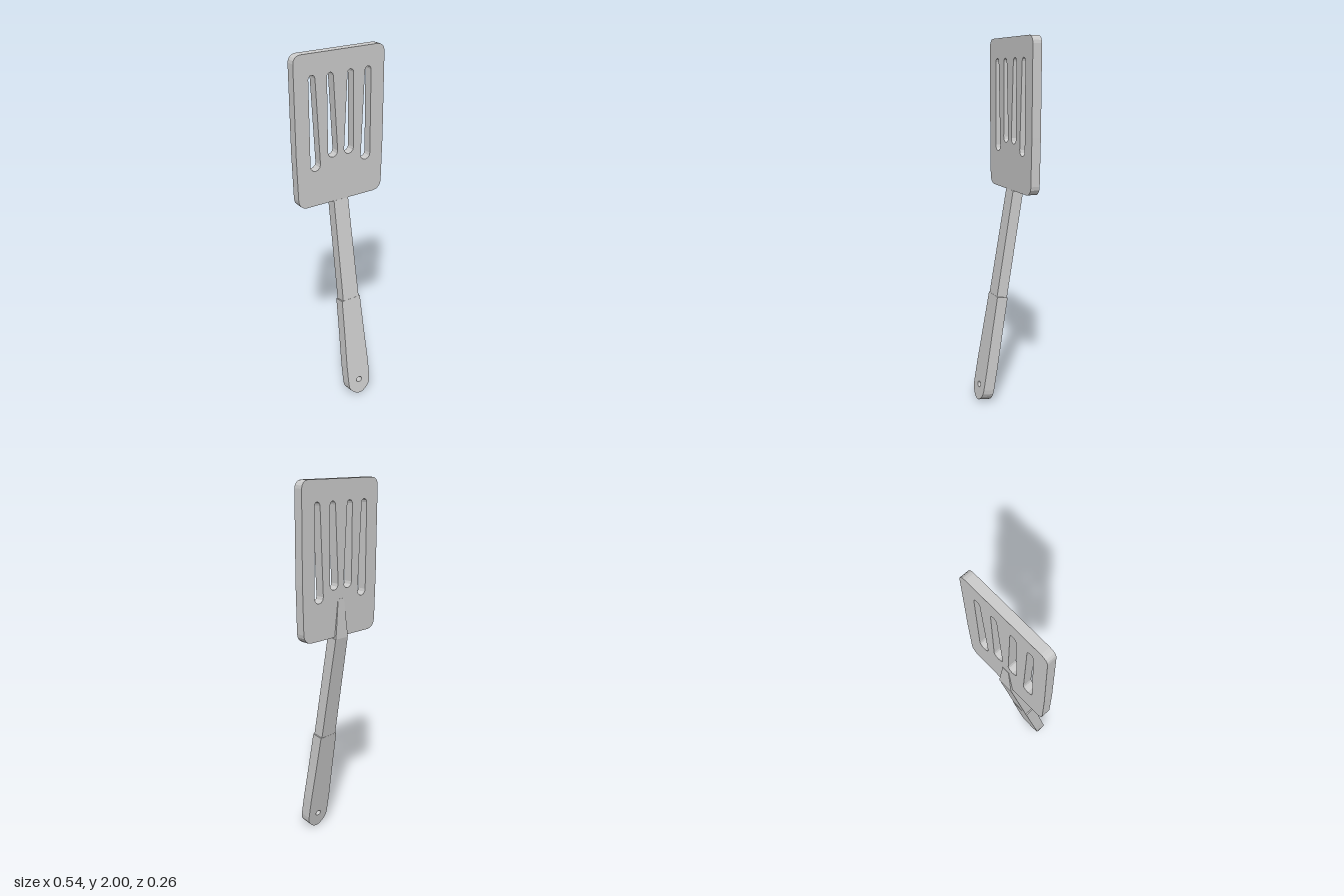
import * as THREE from 'three';

const metal = new THREE.MeshStandardMaterial({ color: 0xcccccc });
metal.name = 'lightGrey';

// Closed outline through points; works for shapes and holes
const outline = (pts, Type = THREE.Shape) => new Type(pts.map(([x, y]) => new THREE.Vector2(x, y)));

// Mirror the right half of an outline, listed from bottom to top
const mirrored = (half) => [
  ...half,
  ...half.filter(([x]) => x > 0).reverse().map(([x, y]) => [-x, y]),
];

// Quarter-round corner points
const corner = (cx, cy, r, from, steps = 4) => Array.from({ length: steps + 1 }, (_, i) => {
  const a = from + (i / steps) * Math.PI / 2;
  return [cx + r * Math.cos(a), cy + r * Math.sin(a)];
});

function plate(name, shape, depth) {
  const geo = new THREE.ExtrudeGeometry(shape, { depth, bevelEnabled: false, curveSegments: 8 });
  geo.translate(0, 0, -depth / 2);
  const mesh = new THREE.Mesh(geo, metal);
  mesh.name = name;
  return mesh;
}

// Tapered slot: straight outer side, slanted inner side, round ends
function slot(side, outer, topInner, bottomInner, top, bottom) {
  const pts = [];
  const end = (inner, y, dir) => {
    const c = (outer + inner) / 2, r = (outer - inner) / 2;
    for (let i = 0; i <= 6; i++) {
      const a = (i / 6) * Math.PI;
      pts.push([side * (c + dir * r * Math.cos(a)), y + dir * r * (Math.sin(a) - 1)]);
    }
  };
  end(topInner, top, 1);
  end(bottomInner, bottom, -1);
  return outline(pts, THREE.Path);
}

export function createModel() {
  const model = new THREE.Group();
  model.name = 'spatula';

  // Slotted blade
  const bladeShape = outline(mirrored([
    ...corner(0.212, 1.25, 0.05, -Math.PI / 2),
    [0.268, 1.5],
    ...corner(0.228, 1.96, 0.04, 0),
  ]));
  for (const s of [-1, 1]) {
    bladeShape.holes.push(slot(s, 0.186, 0.148, 0.126, 1.895, 1.395));
    // inner slots are straight on their outer side as well
    bladeShape.holes.push(slot(s, 0.079, 0.042, 0.02, 1.895, 1.45));
  }
  const blade = plate('blade', bladeShape, 0.05);
  blade.position.z = -0.093;
  model.add(blade);

  // Tilted handle: shaft and grip
  const handle = new THREE.Group();
  handle.name = 'handle';
  handle.position.set(0, 0.005, 0.1);
  handle.rotation.x = -0.165;
  model.add(handle);

  handle.add(plate('shaft', outline(mirrored([[0.052, 0.615], [0.045, 1.206]])), 0.06));

  const gripShape = outline(mirrored([
    [0, 0], [0.02, 0.004], [0.04, 0.016], [0.06, 0.036], [0.07, 0.055],
    [0.073, 0.08], [0.073, 0.2], [0.066, 0.4], [0.06, 0.615],
  ]));
  const hangHole = new THREE.Path();
  hangHole.absellipse(0, 0.088, 0.019, 0.016, 0, Math.PI * 2, true);
  gripShape.holes.push(hangHole);
  handle.add(plate('grip', gripShape, 0.062));

  // Tongue tapering from the shaft up the back of the blade
  const tongueGeo = new THREE.BoxGeometry(1, 1, 1).toNonIndexed();
  const p = tongueGeo.attributes.position;
  for (let i = 0; i < p.count; i++) {
    const up = p.getY(i) > 0, back = p.getZ(i) < 0;
    const half = up ? 0.021 : 0.045;
    p.setXYZ(i, Math.sign(p.getX(i)) * half, up ? 1.4 : 1.19, back ? (up ? -0.12 : -0.129) : -0.1);
  }
  tongueGeo.computeVertexNormals();
  const tongue = new THREE.Mesh(tongueGeo, metal);
  tongue.name = 'tongue';
  model.add(tongue);

  return model;
}
